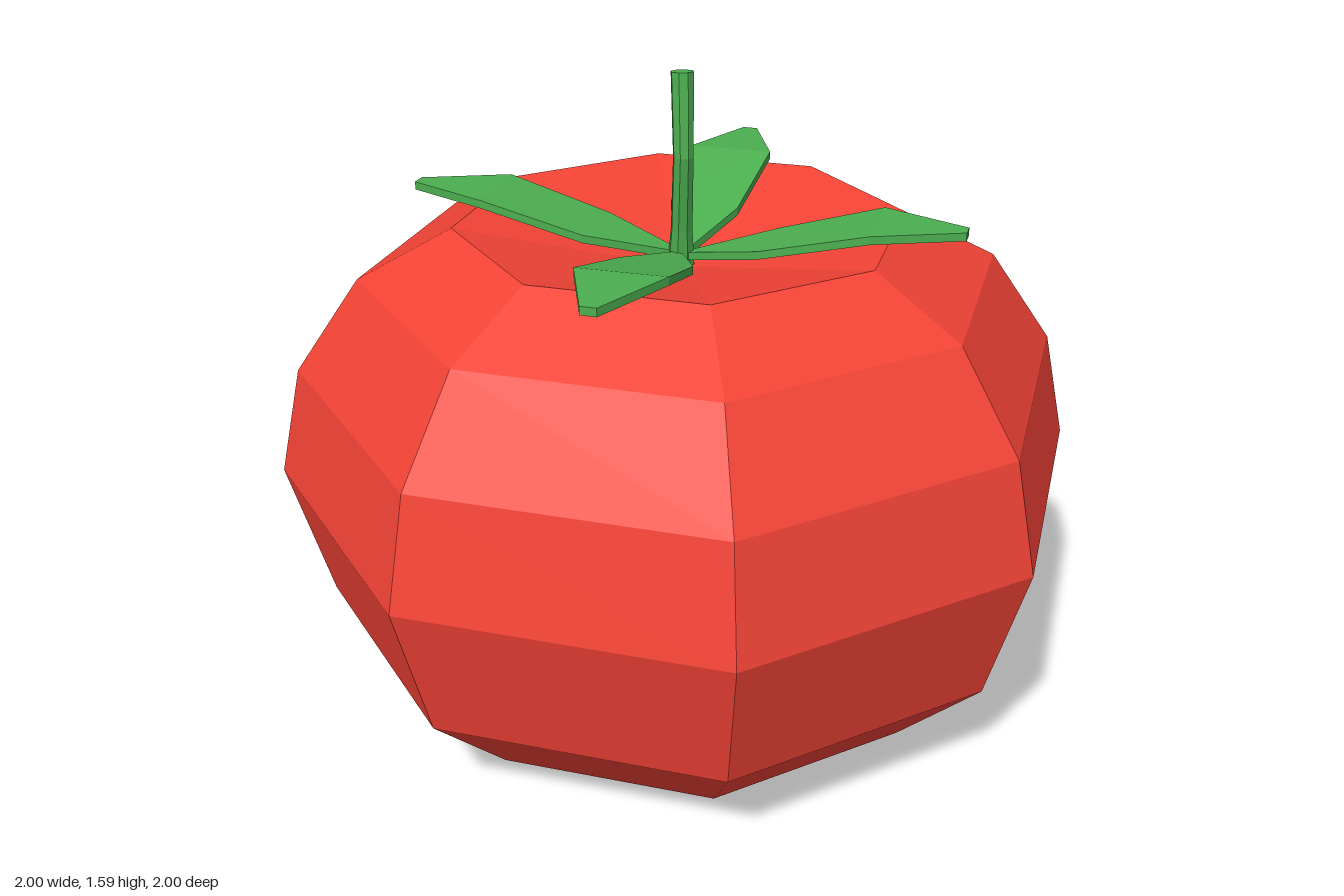
import * as THREE from 'three';

// Skin a list of equal-length rings of [x, y, z] points and cap both ends
function loft(rings) {
  const n = rings[0].length, last = (rings.length - 1) * n;
  const index = [];
  for (let r = 0; r < rings.length - 1; r++) {
    for (let i = 0; i < n; i++) {
      const a = r * n + i, b = r * n + (i + 1) % n;
      index.push(a, a + n, b, b, a + n, b + n);
    }
  }
  for (let i = 1; i < n - 1; i++) {
    index.push(0, i, i + 1, last, last + i + 1, last + i);
  }
  const geometry = new THREE.BufferGeometry();
  geometry.setAttribute('position', new THREE.Float32BufferAttribute(rings.flat(2), 3));
  geometry.setIndex(index);
  geometry.computeVertexNormals();
  return geometry;
}

function addMesh(parent, name, geometry, material) {
  const mesh = new THREE.Mesh(geometry, material);
  mesh.name = name;
  parent.add(mesh);
  return mesh;
}

export function createModel() {
  const model = new THREE.Group();
  model.name = 'tomato';
  const red = new THREE.MeshStandardMaterial({ color: 0xf44336, flatShading: true });
  const green = new THREE.MeshStandardMaterial({ color: 0x4caf50, flatShading: true });

  // Eight-sided fruit, dimpled at the top and bottom
  const profile = [
    [0, 0.1], [0.4, 0], [0.68, 0.03], [0.9, 0.25], [1, 0.6],
    [0.94, 0.87], [0.78, 1.1], [0.55, 1.22], [0, 1.1],
  ].map(([r, y]) => new THREE.Vector2(r, y));
  addMesh(model, 'fruit', new THREE.LatheGeometry(profile, 8), red);

  // Bent stem: height, z offset and radius of each ring; the top is tilted
  const stemRings = [[1.09, -0.01, 0.035, 0], [1.2, 0.008, 0.027, 0], [1.39, 0.042, 0.025, 0], [1.587, 0.02, 0.028, 0.1]]
    .map(([y, z, r, tilt]) => Array.from({ length: 8 }, (_, i) => {
      const a = (i + 0.5) * Math.PI / 4;
      return [r * Math.cos(a), y + tilt * r * Math.sin(a), z + r * Math.sin(a)];
    }));
  addMesh(model, 'stem', loft(stemRings), green);

  // Four curved leaves: both edges and the top height of each cross-section
  const thickness = 0.02;
  const leafRings = [
    [0.01, 0, 0, 0.01, 1.14],
    [0.24, 0, 0.16, 0.16, 1.19],
    [0.48, 0.08, 0.4, 0.28, 1.26],
    [0.64, 0.245, 0.625, 0.28, 1.26],
  ].map(([ax, az, bx, bz, y]) => [
    [bx, y - thickness, bz], [bx, y, bz], [ax, y, az], [ax, y - thickness, az],
  ]);
  const leafGeometry = loft(leafRings);
  const leaves = new THREE.Group();
  leaves.name = 'leaves';
  for (let i = 0; i < 4; i++) {
    addMesh(leaves, `leaf${i + 1}`, leafGeometry, green).rotation.y = i * Math.PI / 2;
  }
  model.add(leaves);

  return model;
}
